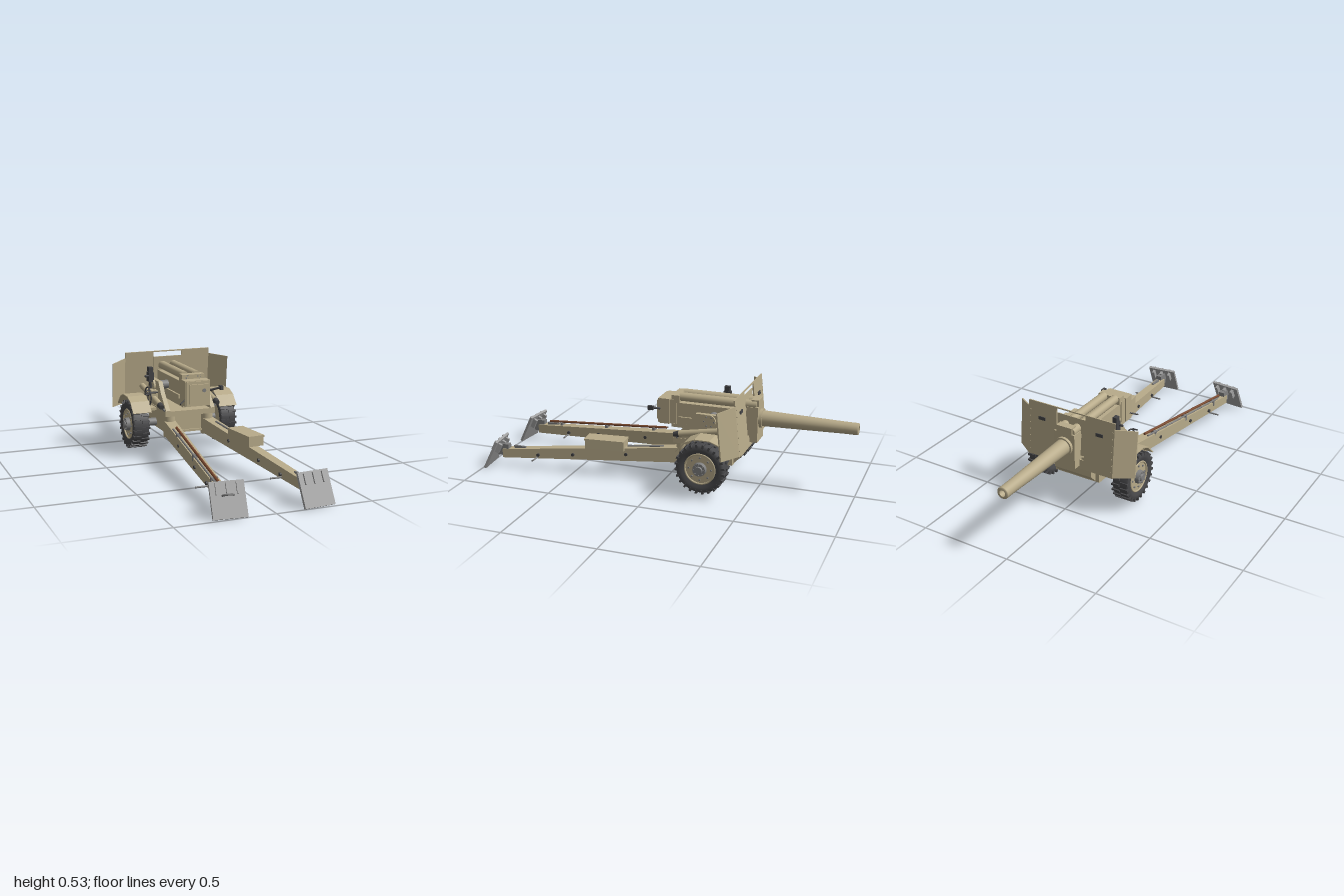
import * as THREE from 'three';

const mat = (color) => new THREE.MeshStandardMaterial({ color, side: THREE.DoubleSide });
const TAN = mat(0xb8ab8a), DARK = mat(0x444446), RUBBER = mat(0x48484a), STEEL = mat(0xa0a0a0), WOOD = mat(0x7a4a30), GREY = mat(0x808080);

export function createModel() {
  const root = new THREE.Group();
  root.name = 'fieldGun';

  const add = (name, geo, m = TAN, parent = root) => {
    const mesh = new THREE.Mesh(geo, m);
    mesh.name = name;
    parent.add(mesh);
    return mesh;
  };
  // Box from min/max ranges
  const box = (name, [x0, x1], [y0, y1], [z0, z1], m, parent) => {
    const mesh = add(name, new THREE.BoxGeometry(Math.abs(x1 - x0), y1 - y0, z1 - z0), m, parent);
    mesh.position.set((x0 + x1) / 2, (y0 + y1) / 2, (z0 + z1) / 2);
    return mesh;
  };
  // Cylinder between two points (r0 at a, r1 at b)
  const rod = (name, a, b, r0, r1 = r0, m = TAN, parent = root, seg = 24) => {
    const p = new THREE.Vector3(...a), q = new THREE.Vector3(...b), d = q.clone().sub(p);
    const mesh = add(name, new THREE.CylinderGeometry(r1, r0, d.length(), seg), m, parent);
    mesh.position.copy(p).add(q).multiplyScalar(0.5);
    mesh.quaternion.setFromUnitVectors(new THREE.Vector3(0, 1, 0), d.normalize());
    return mesh;
  };
  const shapeOf = (pts) => new THREE.Shape(pts.map(([a, b]) => new THREE.Vector2(a, b)));
  // Side profile (z, y) extruded across x0..x1
  const side = (name, pts, [x0, x1], m) => {
    const geo = new THREE.ExtrudeGeometry(shapeOf(pts), { depth: Math.abs(x1 - x0), bevelEnabled: false });
    geo.rotateY(-Math.PI / 2).translate(Math.max(x0, x1), 0, 0);
    return add(name, geo, m);
  };
  // Beam with different rectangular ends: each end is {x, w, y0, y1, z}
  const beam = (name, back, front, m) => {
    const geo = new THREE.BoxGeometry(1, 1, 1).toNonIndexed(), p = geo.attributes.position;
    for (let i = 0; i < p.count; i++) {
      const e = p.getZ(i) > 0 ? front : back;
      p.setXYZ(i, e.x + p.getX(i) * e.w, p.getY(i) > 0 ? e.y1 : e.y0, e.z);
    }
    geo.computeVertexNormals();
    return add(name, geo, m);
  };

  // Barrel with hollow muzzle
  const barrel = add('barrel', new THREE.LatheGeometry([
    [0, 0.75], [0.017, 0.75], [0.017, 1], [0.017, 1], [0.028, 1], [0.031, 0.995], [0.031, 0.93], [0.031, 0.93], [0.042, 0.48], [0.042, 0.05],
  ].map(([r, y]) => new THREE.Vector2(r, y)), 32));
  barrel.rotation.x = -Math.PI / 2;
  barrel.position.y = 0.368;

  // Cradle, recoil cylinders and collar
  box('cradle', [-0.06, 0.06], [0.285, 0.42], [-0.44, -0.05]);
  box('cradleRail', [-0.07, 0.07], [0.325, 0.345], [-0.43, -0.06]);
  box('cradleFoot', [-0.06, 0.06], [0.283, 0.3], [-0.3, -0.02]);
  for (const x of [-0.034, 0.034]) {
    rod('recoilCylinder', [x, 0.448, -0.06], [x, 0.448, -0.48], 0.023);
    rod('recoilRod', [x, 0.448, -0.02], [x, 0.448, -0.06], 0.012, 0.012, GREY);
  }
  box('recoilYoke', [-0.064, 0.064], [0.42, 0.46], [-0.065, -0.02]);
  box('cradleCollar', [-0.06, 0.06], [0.25, 0.44], [-0.49, -0.43]);
  box('collarCap', [-0.045, 0.045], [0.44, 0.475], [-0.49, -0.45]);
  rod('barrelSleeve', [0, 0.368, -0.48], [0, 0.368, -0.505], 0.05);

  // Breech with door, pin and levers
  box('breech', [-0.066, 0.066], [0.303, 0.435], [-0.05, 0.055]);
  box('breechFrame', [-0.072, 0.07], [0.3, 0.438], [-0.01, 0.045]);
  box('breechDoor', [-0.053, 0.053], [0.315, 0.42], [0.055, 0.065]);
  rod('firingPin', [0.028, 0.387, 0.06], [0.028, 0.387, 0.07], 0.01, 0.01, GREY);
  rod('breechLever', [0.06, 0.378, 0.04], [0.12, 0.398, 0.075], 0.006, 0.006, DARK);
  box('breechHandle', [0.113, 0.128], [0.386, 0.408], [0.06, 0.09], DARK);
  rod('releaseLever', [-0.07, 0.335, 0.03], [-0.105, 0.32, 0.06], 0.004, 0.004, DARK);

  // Shield: slotted centre plate and swept wings, leaning back
  const shield = new THREE.Group();
  shield.name = 'shield';
  shield.position.set(0, 0.235, -0.452);
  shield.rotation.x = 0.1;
  root.add(shield);
  const plate = shapeOf([[-0.253, 0], [0.253, 0], [0.253, 0.297], [-0.253, 0.297]]);
  plate.holes.push(new THREE.Path([[-0.085, 0.05], [-0.085, 0.291], [0.085, 0.291], [0.085, 0.05]].map((p) => new THREE.Vector2(...p))));
  add('shieldPlate', new THREE.ExtrudeGeometry(plate, { depth: 0.007, bevelEnabled: false }), TAN, shield);
  box('gunPlate', [-0.084, 0.084], [0.16, 0.265], [0.008, 0.014], TAN, shield);
  for (const s of [-1, 1]) {
    box('gunPlateSide', [s * 0.058, s * 0.084], [0.07, 0.16], [0.008, 0.014], TAN, shield);
    const wing = new THREE.ExtrudeGeometry(shapeOf([[s * 0.253, 0.003], [s * 0.345, 0.005], [s * 0.345, 0.256], [s * 0.253, 0.264]]), { depth: 0.007, bevelEnabled: false });
    const p = wing.attributes.position;
    for (let i = 0; i < p.count; i++) p.setZ(i, p.getZ(i) + (Math.abs(p.getX(i)) - 0.253) * 0.72);
    wing.computeVertexNormals();
    add('shieldWing', wing, TAN, shield);
    box('visionSlit', [s * 0.15, s * 0.19], [0.205, 0.222], [-0.005, 0], DARK, shield);
    for (let i = 0; i < 7; i++) rod('shieldRivet', [s * 0.243, 0.03 + i * 0.036, -0.003], [s * 0.243, 0.03 + i * 0.036, 0], 0.004, 0.004, TAN, shield, 8);
    rod('shieldBrace', [s * 0.135, 0.3, -0.36], [s * 0.16, 0.33, -0.435], 0.007);
  }

  // Lower and upper carriage
  box('lowerCarriage', [-0.133, 0.133], [0.135, 0.225], [-0.38, -0.1]);
  box('carriageLip', [-0.128, 0.128], [0.128, 0.14], [-0.36, -0.09]);
  side('carriageNose', [[-0.38, 0.14], [-0.38, 0.225], [-0.42, 0.225], [-0.42, 0.18]], [-0.11, 0.11]);
  box('turntable', [-0.145, 0.145], [0.228, 0.256], [-0.38, -0.06]);
  rod('axle', [-0.25, 0.16, -0.257], [0.25, 0.16, -0.257], 0.022, 0.022, GREY);

  for (const s of [-1, 1]) {
    // Cheeks, trunnions and balance cylinders
    side('cheek', [[-0.06, 0.23], [-0.38, 0.23], [-0.37, 0.32], [-0.33, 0.4], [-0.18, 0.4], [-0.14, 0.34], [-0.06, 0.26]], [s * 0.118, s * 0.142]);
    rod('trunnion', [s * 0.06, 0.368, -0.257], [s * 0.12, 0.368, -0.257], 0.024, 0.024, GREY);
    rod('trunnionCap', [s * 0.14, 0.368, -0.257], [s * 0.153, 0.368, -0.257], 0.035);
    for (let i = 0; i < 6; i++) {
      const a = i * Math.PI / 3, y = 0.368 + 0.027 * Math.sin(a), z = -0.257 + 0.027 * Math.cos(a);
      rod('trunnionBolt', [s * 0.15, y, z], [s * 0.158, y, z], 0.004, 0.004, GREY, root, 6);
    }
    rod('balanceCylinder', [s * 0.163, 0.288, -0.1], [s * 0.163, 0.34, -0.39], 0.017);
    rod('balanceEnd', [s * 0.163, 0.281, -0.07], [s * 0.163, 0.288, -0.1], 0.013, 0.017, DARK);
    rod('balanceLink', [s * 0.163, 0.281, -0.08], [s * 0.13, 0.245, -0.08], 0.006, 0.006, GREY);

    // Bent fender over the wheel, with bracket
    side('fender', [[-0.127, 0.245], [-0.178, 0.298], [-0.23, 0.32], [-0.31, 0.32], [-0.36, 0.3], [-0.41, 0.25],
      [-0.404, 0.247], [-0.356, 0.295], [-0.31, 0.315], [-0.23, 0.315], [-0.181, 0.293], [-0.132, 0.242]], [s * 0.2, s * 0.305]);
    box('fenderBracket', [s * 0.13, s * 0.21], [0.235, 0.25], [-0.3, -0.21]);

    // Wheel: lathed tyre with staggered lugs, disc and bolted hub
    const wheel = new THREE.Group();
    wheel.name = 'wheel';
    wheel.position.set(s * 0.257, 0.16, -0.257);
    wheel.rotation.z = -s * Math.PI / 2;
    root.add(wheel);
    add('tyre', new THREE.LatheGeometry([[0.08, -0.036], [0.1, -0.045], [0.118, -0.045], [0.127, -0.036], [0.128, 0.036], [0.118, 0.045], [0.1, 0.045], [0.08, 0.036]]
      .map(([r, y]) => new THREE.Vector2(r, y)), 40), RUBBER, wheel);
    for (let i = 0; i < 48; i++) {
      const a = i * Math.PI / 24, lug = add('treadLug', new THREE.BoxGeometry(0.02, 0.044, 0.0115), RUBBER, wheel);
      lug.position.set(0.124 * Math.cos(a), i % 2 ? 0.024 : -0.024, 0.124 * Math.sin(a));
      lug.rotation.y = -a;
    }
    rod('wheelDisc', [0, -0.035, 0], [0, 0.034, 0], 0.083, 0.083, TAN, wheel, 36);
    const rim = add('rim', new THREE.TorusGeometry(0.08, 0.005, 8, 36), TAN, wheel);
    rim.rotation.x = Math.PI / 2;
    rim.position.y = 0.037;
    rod('hub', [0, 0.03, 0], [0, 0.055, 0], 0.037, 0.034, GREY, wheel);
    rod('hubCap', [0, 0.05, 0], [0, 0.063, 0], 0.022, 0.018, GREY, wheel);
    for (let i = 0; i < 8; i++) {
      const c = Math.cos(i * Math.PI / 4), d = Math.sin(i * Math.PI / 4);
      rod('hubBolt', [c * 0.028, 0.05, d * 0.028], [c * 0.028, 0.06, d * 0.028], 0.004, 0.004, GREY, wheel, 6);
      rod('discBolt', [c * 0.06, 0.03, d * 0.06], [c * 0.06, 0.04, d * 0.06], 0.005, 0.005, GREY, wheel, 6);
    }

    // Split trail: tapering beam, hinge, cross pins
    const tx = (z) => 0.11 + (z + 0.1) * 0.104;
    const top = (z) => 0.2 - (z + 0.1) * 0.102;
    beam('trail', { x: s * 0.11, w: 0.062, y0: 0.118, y1: 0.2, z: -0.1 }, { x: s * 0.215, w: 0.044, y0: 0.048, y1: 0.097, z: 0.91 });
    rod('trailHinge', [s * 0.11, 0.11, -0.1], [s * 0.11, 0.228, -0.1], 0.033);
    rod('trailHandle', [s * 0.11, 0.07, 0.705], [s * 0.28, 0.07, 0.705], 0.0045, 0.0045, GREY);
    for (const z of [0.2, 0.5, 0.7]) rod('trailBolt', [s * (tx(z) - 0.033), top(z) - 0.035, z], [s * (tx(z) + 0.033), top(z) - 0.035, z], 0.009, 0.009, DARK, root, 12);

    // Spade plate with ribs, leaning back
    const spade = new THREE.Group();
    spade.name = 'spade';
    spade.position.set(s * 0.222, 0.078, 0.957);
    spade.rotation.set(-0.46, s * 0.1, 0, 'YXZ');
    root.add(spade);
    box('spadePlate', [-0.083, 0.083], [-0.085, 0.087], [-0.007, 0.007], STEEL, spade);
    for (const x of [-0.05, 0, 0.05]) {
      box('spadeRib', [x - 0.007, x + 0.007], [0.025, 0.078], [0, 0.016], STEEL, spade);
      box('spadeLug', [x - 0.007, x + 0.007], [0.02, 0.075], [-0.03, 0], STEEL, spade);
    }
    if (s < 0) {
      const grip = add('spadeGrip', new THREE.TorusGeometry(0.027, 0.005, 8, 20, Math.PI), GREY, spade);
      grip.rotation.x = Math.PI / 2;
      grip.position.set(0, 0.02, 0.005);
    }
    box('spadeBracket', [s * 0.2, s * 0.232], [0.06, 0.125], [0.875, 0.94], GREY);
    box('trailLug', [s * 0.2, s * 0.212], [0.09, 0.118], [0.78, 0.85], GREY);
  }

  // Toolbox on the left trail, stowed staff and tools on the right trail
  const chest = box('toolbox', [0.113, 0.199], [0.155, 0.205], [0.21, 0.425]);
  chest.rotation.y = 0.1;
  const lid = box('toolboxLid', [0.11, 0.202], [0.2, 0.21], [0.207, 0.428]);
  lid.rotation.y = 0.1;
  rod('stowedStaff', [-0.135, 0.2, 0.08], [-0.214, 0.122, 0.84], 0.007, 0.007, WOOD, root, 10);
  rod('stowedBar', [-0.155, 0.195, 0.08], [-0.223, 0.12, 0.8], 0.005, 0.005, GREY, root, 10);
  for (const z of [0.15, 0.45, 0.75]) box('staffClip', [-0.15 - z * 0.1, -0.115 - z * 0.1], [0.168 - z * 0.102, 0.205 - z * 0.102], [z, z + 0.015], GREY);
  rod('leftTrailBar', [0.125, 0.193, 0], [0.145, 0.176, 0.2], 0.005, 0.005, GREY, root, 10);

  // Sight on the right cheek
  box('sightMount', [-0.178, -0.142], [0.3, 0.35], [-0.25, -0.19]);
  rod('sightPost', [-0.16, 0.34, -0.26], [-0.16, 0.4, -0.26], 0.007, 0.007, DARK);
  box('sightBody', [-0.175, -0.147], [0.39, 0.442], [-0.28, -0.24], DARK);
  box('sightHead', [-0.173, -0.149], [0.442, 0.47], [-0.275, -0.245], DARK);
  rod('sightEyepiece', [-0.195, 0.422, -0.25], [-0.17, 0.422, -0.25], 0.006, 0.006, DARK);

  // Elevation handwheel
  const hand = new THREE.Group();
  hand.name = 'handwheel';
  hand.position.set(-0.199, 0.322, -0.19);
  hand.rotation.y = Math.PI / 2;
  root.add(hand);
  add('handwheelRing', new THREE.TorusGeometry(0.05, 0.004, 8, 28), DARK, hand);
  for (let i = 0; i < 3; i++) {
    const a = i * Math.PI * 2 / 3 + 0.4;
    rod('handwheelSpoke', [0, 0, 0], [0.05 * Math.cos(a), 0.05 * Math.sin(a), 0], 0.003, 0.003, DARK, hand, 8);
  }
  rod('handwheelShaft', [-0.2, 0.34, -0.19], [-0.13, 0.34, -0.19], 0.005, 0.005, DARK);
  for (const y of [0.34, 0.362]) rod('handwheelGrip', [-0.225, y, -0.155], [-0.198, y, -0.155], 0.004, 0.004, DARK, root, 10);
  return root;
}
